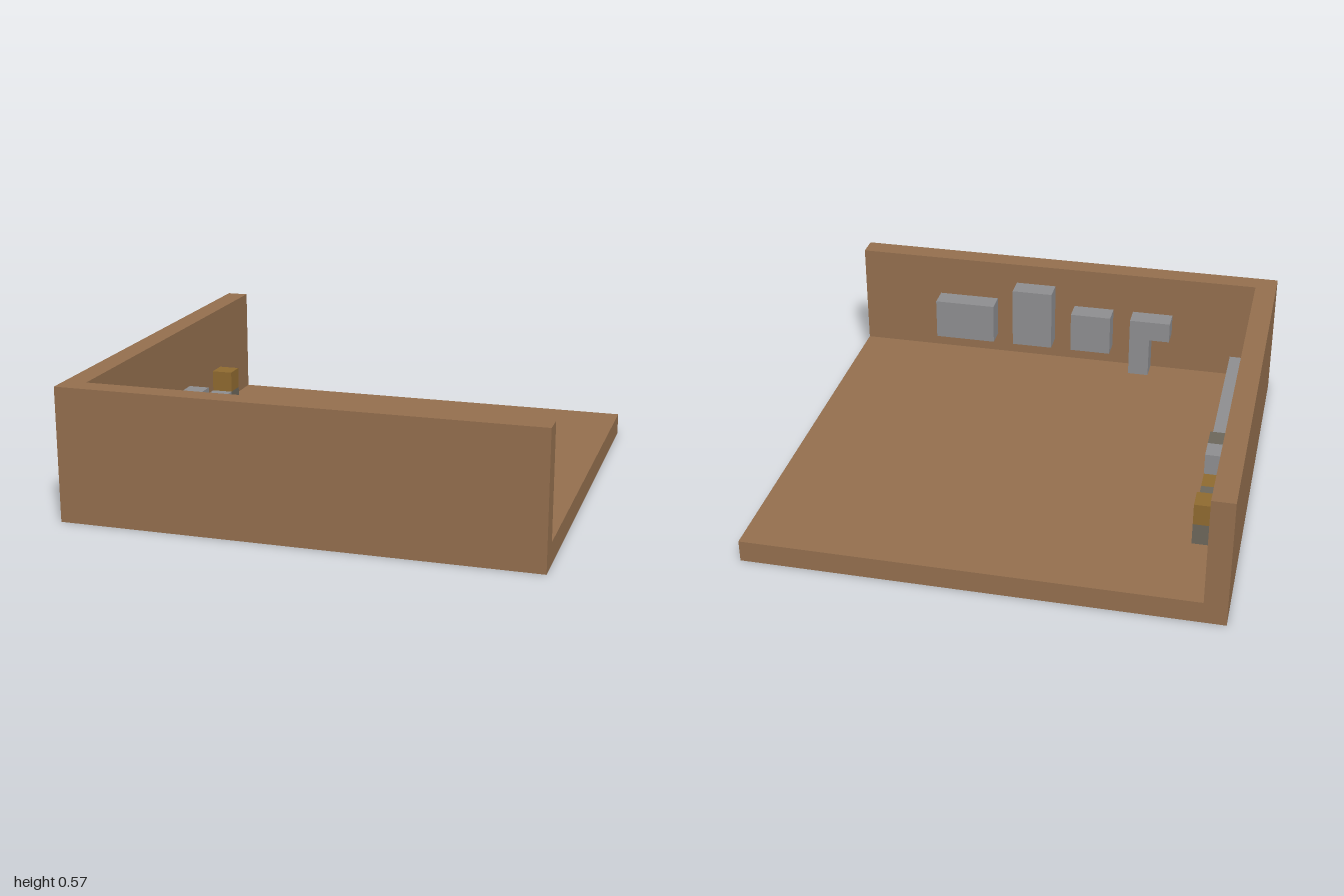
import * as THREE from 'three';

// One grid cell: 21 cells across x, 20 across z
const U = 2 / 21;

export function createModel() {
  const group = new THREE.Group();
  const material = (name, color) => {
    const m = new THREE.MeshStandardMaterial({ color });
    m.name = name;
    return m;
  };
  const brown = material('brown wood', 0x946f4e);
  const grey = material('light grey', 0x8e8e90);
  const dark = material('dark grey', 0x6c665a);
  const gold = material('gold', 0x8f6a30);

  // Box from its lowest corner and size, both in grid cells
  const block = (name, mat, [x, y, z], [w, h, d]) => {
    const mesh = new THREE.Mesh(new THREE.BoxGeometry(w * U, h * U, d * U), mat);
    mesh.position.set((x + w / 2 - 10.5) * U, (y + h / 2) * U, (z + d / 2 - 10) * U);
    mesh.name = name;
    group.add(mesh);
  };

  // Floor and the two walls
  block('floor', brown, [0, 0, 0], [21, 1, 20]);
  block('sideWall', brown, [0, 1, 0], [1, 5, 20]);
  block('frontWall', brown, [1, 1, 19], [20, 5, 1]);

  // Low rail along the side wall
  block('sideRail', grey, [1, 1, 10], [1, 1, 9]);

  // Single cubes continuing the rail: [material, y, z]
  [
    [dark, 2, 9], [grey, 2, 8], [dark, 1, 8], [gold, 1, 7],
    [dark, 1, 6], [grey, 1, 5], [dark, 1, 4], [gold, 2, 4],
  ].forEach(([mat, y, z], i) => block(`cube${i + 1}`, mat, [1, y, z], [1, 1, 1]));

  // Blocks fixed to the inside of the front wall
  block('wideWallBlock', grey, [14, 2, 18], [3, 2, 1]);
  block('tallWallBlock', grey, [11, 2, 18], [2, 3, 1]);
  block('squareWallBlock', grey, [8, 2, 18], [2, 2, 1]);
  block('hookTop', grey, [5, 3, 18], [2, 1, 1]);
  block('hookLeg', grey, [6, 1, 18], [1, 2, 1]);

  return group;
}
